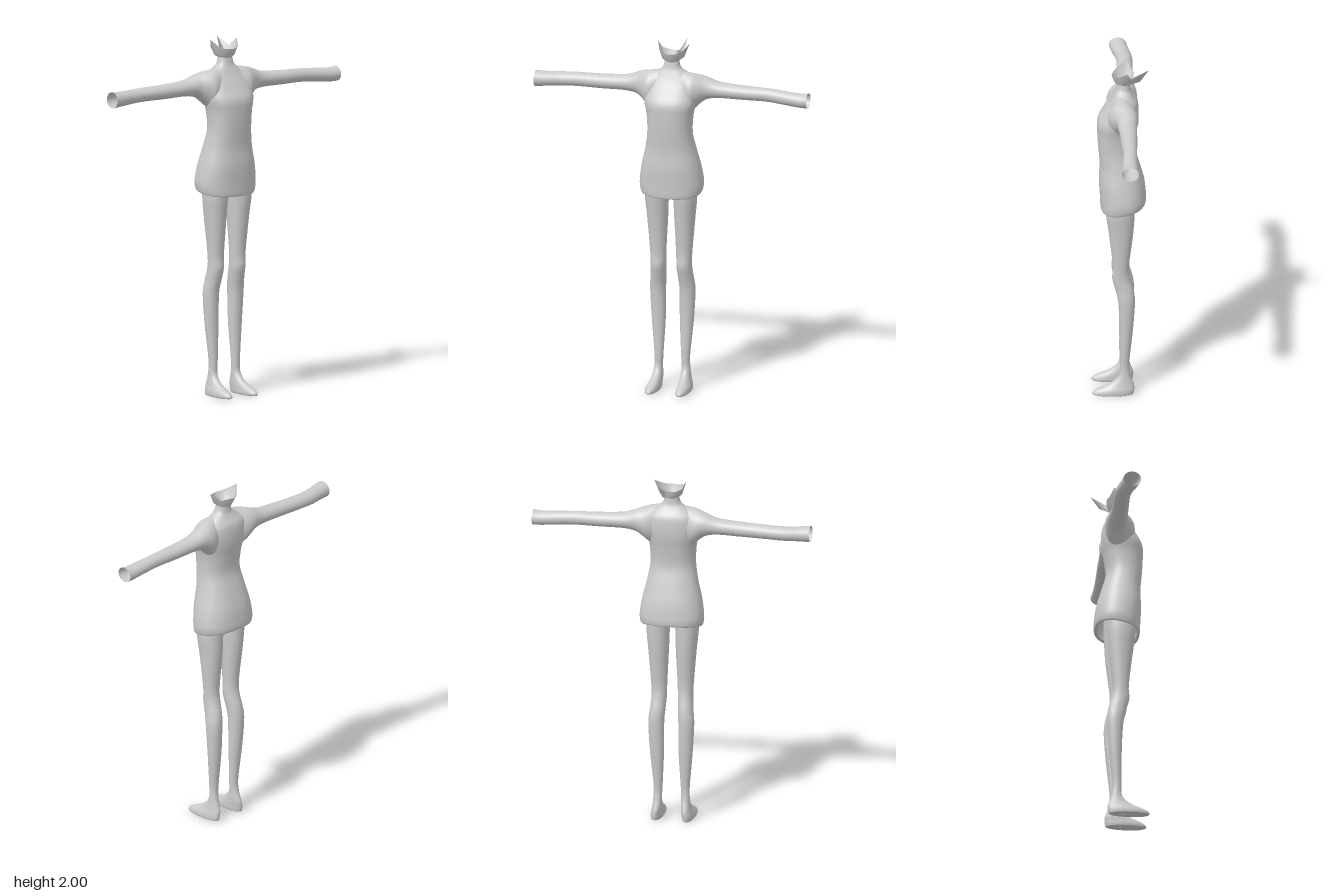
import * as THREE from 'three';

const material = new THREE.MeshStandardMaterial({ color: 0xcccccc, side: THREE.DoubleSide });

// Smooth in-between value of a table of sections, at fractional row u
function sampleRow(rows, u) {
  const i = Math.min(Math.floor(u), rows.length - 2), f = u - i;
  const at = (k) => rows[Math.max(0, Math.min(rows.length - 1, k))];
  return rows[i].map((p1, c) => {
    const p0 = at(i - 1)[c], p2 = at(i + 1)[c], p3 = at(i + 2)[c];
    const m1 = (p2 - p0) / 2, m2 = (p3 - p1) / 2;
    const f2 = f * f, f3 = f2 * f;
    return (2 * f3 - 3 * f2 + 1) * p1 + (f3 - 2 * f2 + f) * m1 + (3 * f2 - 2 * f3) * p2 + (f3 - f2) * m2;
  });
}

// Joins closed rings of points into one surface
function skin(name, rings, flip) {
  const n = rings[0].length, index = [];
  for (let r = 0; r < rings.length - 1; r++) {
    for (let c = 0; c < n; c++) {
      const a = r * n + c, b = r * n + (c + 1) % n, d = a + n, e = b + n;
      if (flip) index.push(a, b, d, b, e, d);
      else index.push(a, d, b, b, d, e);
    }
  }
  const geo = new THREE.BufferGeometry();
  geo.setAttribute('position', new THREE.Float32BufferAttribute(rings.flat(2), 3));
  geo.setIndex(index);
  geo.computeVertexNormals();
  const mesh = new THREE.Mesh(geo, material);
  mesh.name = name;
  return mesh;
}

// Rounded sections [t, aMin, aMax, bMin, bMax]; place(t, a, b) gives the point
function loft(name, rows, place, { power = 2, flip = false, steps = 5, sides = 32 } = {}) {
  const rings = [], count = (rows.length - 1) * steps;
  const bulge = (v) => Math.sign(v) * Math.abs(v) ** (2 / power);
  for (let k = 0; k <= count; k++) {
    const row = sampleRow(rows, k / steps);
    const [t, a0, a1, b0, b1] = row;
    rings.push(Array.from({ length: sides }, (_, i) => {
      const q = (i / sides) * Math.PI * 2;
      const a = (a0 + a1) / 2 + bulge(Math.cos(q)) * (a1 - a0) / 2;
      const b = (b0 + b1) / 2 + bulge(Math.sin(q)) * (b1 - b0) / 2;
      return place(t, a, b, row);
    }));
  }
  return skin(name, rings, flip);
}

export function createModel() {
  const model = new THREE.Group();
  model.name = 'figure';

  // Dress and neck: [y, half width, z back, z front, hem tilt]
  const dress = [
    [1.155, 0.155, -0.12, 0.095, 0.17],
    [1.147, 0.168, -0.135, 0.108, 0.17],
    [1.165, 0.176, -0.141, 0.113, 0.16],
    [1.21, 0.179, -0.14, 0.115, 0.1],
    [1.3, 0.166, -0.13, 0.12, 0],
    [1.4, 0.142, -0.103, 0.116, 0],
    [1.5, 0.126, -0.076, 0.124, 0],
    [1.6, 0.13, -0.085, 0.13, 0],
    [1.67, 0.145, -0.097, 0.128, 0],
    [1.73, 0.148, -0.1, 0.096, 0],
    [1.79, 0.135, -0.093, 0.06, 0],
    [1.83, 0.095, -0.068, 0.04, 0],
    [1.86, 0.052, -0.054, 0.028, 0],
    [1.9, 0.04, -0.05, 0.02, 0],
  ].map(([y, w, z0, z1, tilt]) => [y, -w, w, z0, z1, tilt]);
  model.add(loft('dressAndNeck', dress, (y, x, z, row) => [x, y - z * row[5], z], { power: 2.35, sides: 48 }));

  // Sleeves: [distance out, y bottom, y top, z back, z front], open at the wrist
  const shoulder = [
    [0.07, 1.62, 1.843, -0.065, 0.06],
    [0.12, 1.625, 1.835, -0.09, 0.075],
    [0.16, 1.66, 1.826, -0.095, 0.055],
    [0.2, 1.688, 1.813, -0.09, 0.032],
    [0.27, 1.7, 1.79, -0.083, 0.02],
  ];
  const leftArm = [
    ...shoulder,
    [0.4, 1.7, 1.78, -0.08, 0.012],
    [0.55, 1.7, 1.775, -0.074, 0.004],
    [0.66, 1.69, 1.767, -0.073, 0.01],
    [0.74, 1.683, 1.762, -0.076, 0.015],
    [0.782, 1.683, 1.767, -0.078, 0.016],
  ];
  const rightArm = [
    ...shoulder,
    [0.4, 1.698, 1.78, -0.08, 0.012],
    [0.55, 1.697, 1.775, -0.085, 0.004],
    [0.64, 1.693, 1.772, -0.082, 0.01],
    [0.72, 1.69, 1.772, -0.068, 0.028],
    [0.785, 1.686, 1.776, -0.058, 0.04],
  ];
  model.add(loft('leftSleeve', leftArm, (x, y, z) => [x, y, z], { flip: true }));
  model.add(loft('rightSleeve', rightArm, (x, y, z) => [-x, y, z]));

  // Legs with feet: [y, x inner, x outer, z back, z front]
  const leg = [
    [0.006, 0.083, 0.087, 0, 0.02],
    [0.003, 0.058, 0.118, -0.06, 0.14],
    [0.015, 0.052, 0.124, -0.07, 0.16],
    [0.035, 0.052, 0.122, -0.073, 0.138],
    [0.06, 0.053, 0.113, -0.072, 0.08],
    [0.09, 0.054, 0.107, -0.062, 0.032],
    [0.13, 0.055, 0.103, -0.05, 0.006],
    [0.2, 0.052, 0.102, -0.046, 0.005],
    [0.4, 0.042, 0.12, -0.066, 0.006],
    [0.57, 0.041, 0.129, -0.077, 0.015],
    [0.65, 0.036, 0.122, -0.07, 0.032],
    [0.72, 0.032, 0.117, -0.052, 0.049],
    [0.8, 0.03, 0.12, -0.045, 0.046],
    [1.0, 0.021, 0.136, -0.068, 0.068],
    [1.13, 0.017, 0.147, -0.076, 0.085],
    [1.25, 0.014, 0.14, -0.08, 0.09],
  ];
  for (const s of [1, -1]) {
    model.add(loft(s > 0 ? 'leftLeg' : 'rightLeg', leg, (y, x, z) => [s * x, y, z], { flip: s < 0, power: 2.1 }));
  }

  // Jagged open collar flaring out of the neck, with one long spike at the back
  const rim = [
    [0.095, 1.995, -0.035], [0.07, 1.965, 0.015], [0.035, 1.95, 0.04], [0, 1.948, 0.05],
    [-0.035, 1.95, 0.04], [-0.065, 1.965, 0.015], [-0.087, 2, -0.035], [-0.065, 1.955, -0.06],
    [-0.03, 1.945, -0.075], [0.005, 1.94, -0.07], [0.03, 1.945, -0.072], [0.05, 1.997, -0.155],
    [0.062, 1.95, -0.06],
  ];
  const ringAt = (out, lift) => rim.map(([x, y, z]) => {
    const q = Math.atan2(z + 0.015, x);
    const base = [Math.cos(q) * 0.033, 1.893, -0.015 + Math.sin(q) * 0.033];
    return [base[0] + (x - base[0]) * out, base[1] + (y - base[1]) * lift, base[2] + (z - base[2]) * out];
  });
  model.add(skin('jaggedCollar', [ringAt(0, 0), ringAt(0.55, 0.25), ringAt(1, 1)]));

  return model;
}
